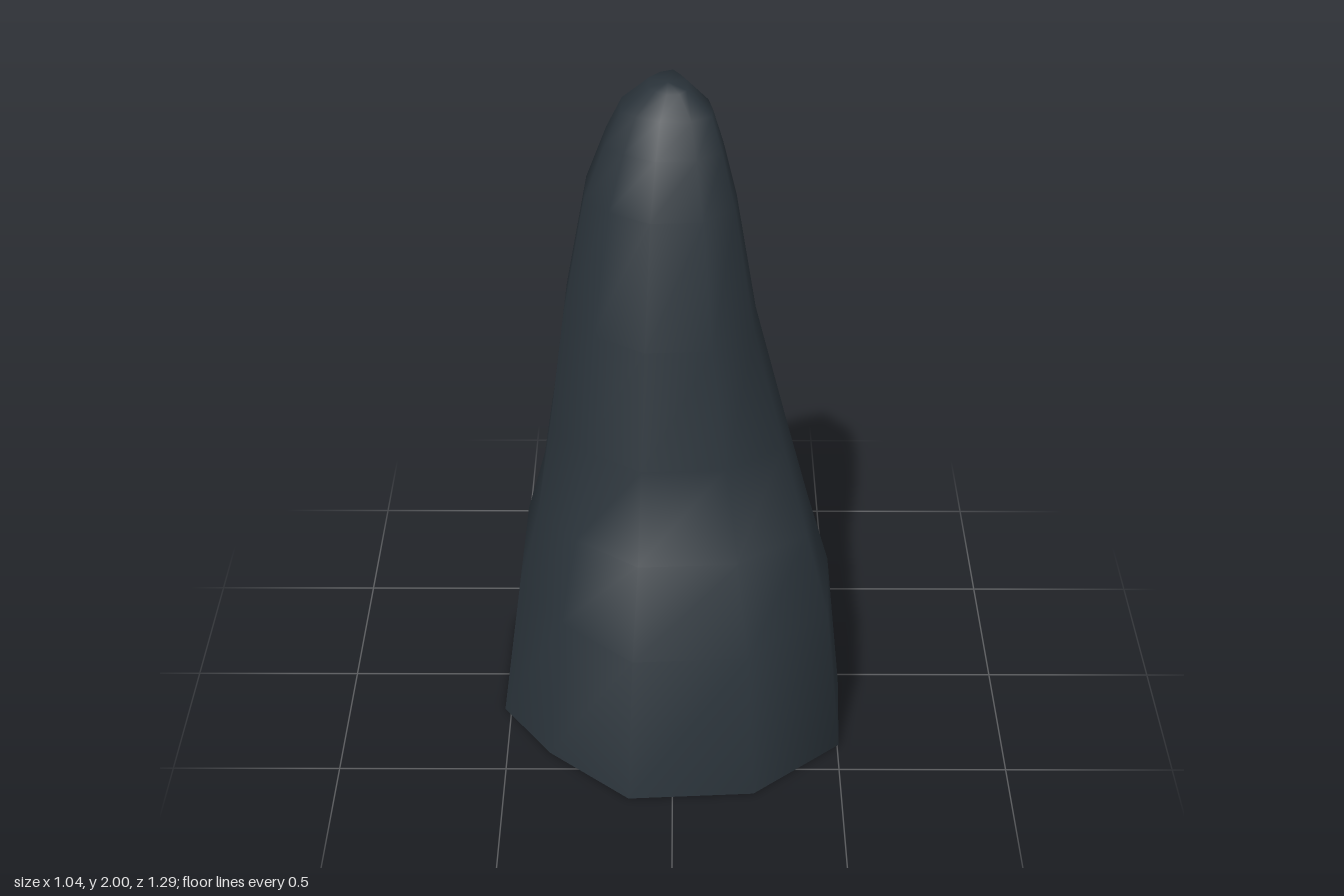
import * as THREE from 'three';

// Uneven footprint, listed as [x, z] around the foot
const FOOT = [
  [0, -0.65], [0.27, -0.44], [0.465, -0.245], [0.52, 0.03], [0.505, 0.375], [0.24, 0.62],
  [-0.13, 0.645], [-0.37, 0.42], [-0.52, 0.19], [-0.515, -0.3], [-0.28, -0.545],
];

// Height, reach to +x, -x, +z, -z, and how far the back left side is pulled in
const RINGS = [
  [0, 0.52, 0.52, 0.645, 0.65, 1],
  [0.45, 0.475, 0.463, 0.595, 0.587, 0.97],
  [0.67, 0.41, 0.405, 0.43, 0.535, 0.97],
  [0.95, 0.335, 0.365, 0.36, 0.405, 0.97],
  [1.31, 0.242, 0.32, 0.31, 0.295, 0.79],
  [1.67, 0.182, 0.255, 0.217, 0.24, 0.98],
  [1.83, 0.143, 0.195, 0.153, 0.215, 1],
  [1.93, 0.112, 0.148, 0.108, 0.17, 1],
  [2, 0.04, 0.07, 0.075, 0.115, 1],
];

function rockSides() {
  const n = FOOT.length;
  const pos = [];
  const index = [];
  for (const [y, right, left, front, back, dent] of RINGS) {
    FOOT.forEach(([x, z], i) => {
      const k = i === 1 || i === 2 ? dent : 1;
      pos.push(k * x * (x > 0 ? right : left) / 0.52, y, k * z * (z > 0 ? front / 0.645 : back / 0.65));
    });
  }
  const tip = pos.length / 3;
  pos.push(-0.015, 2, -0.02);
  for (let r = 0; r < RINGS.length; r++) {
    for (let i = 0; i < n; i++) {
      const a = r * n + i;
      const b = r * n + (i + 1) % n;
      if (r === RINGS.length - 1) index.push(b, a, tip);
      else index.push(b, a, a + n, b, a + n, b + n);
    }
  }
  const geo = new THREE.BufferGeometry();
  geo.setAttribute('position', new THREE.Float32BufferAttribute(pos, 3));
  geo.setIndex(index);
  geo.computeVertexNormals();
  return geo;
}

export function createModel() {
  const group = new THREE.Group();
  group.name = 'rockSpire';
  const slate = new THREE.MeshStandardMaterial({ color: 0x2b343b });
  slate.name = 'dark slate';

  // Smooth tapering body
  const body = new THREE.Mesh(rockSides(), slate);
  body.name = 'rockBody';
  group.add(body);

  // Flat underside
  const outline = new THREE.Shape(FOOT.map(([x, z]) => new THREE.Vector2(x, z)));
  const underside = new THREE.Mesh(new THREE.ShapeGeometry(outline).rotateX(Math.PI / 2), slate);
  underside.name = 'rockUnderside';
  group.add(underside);

  return group;
}
